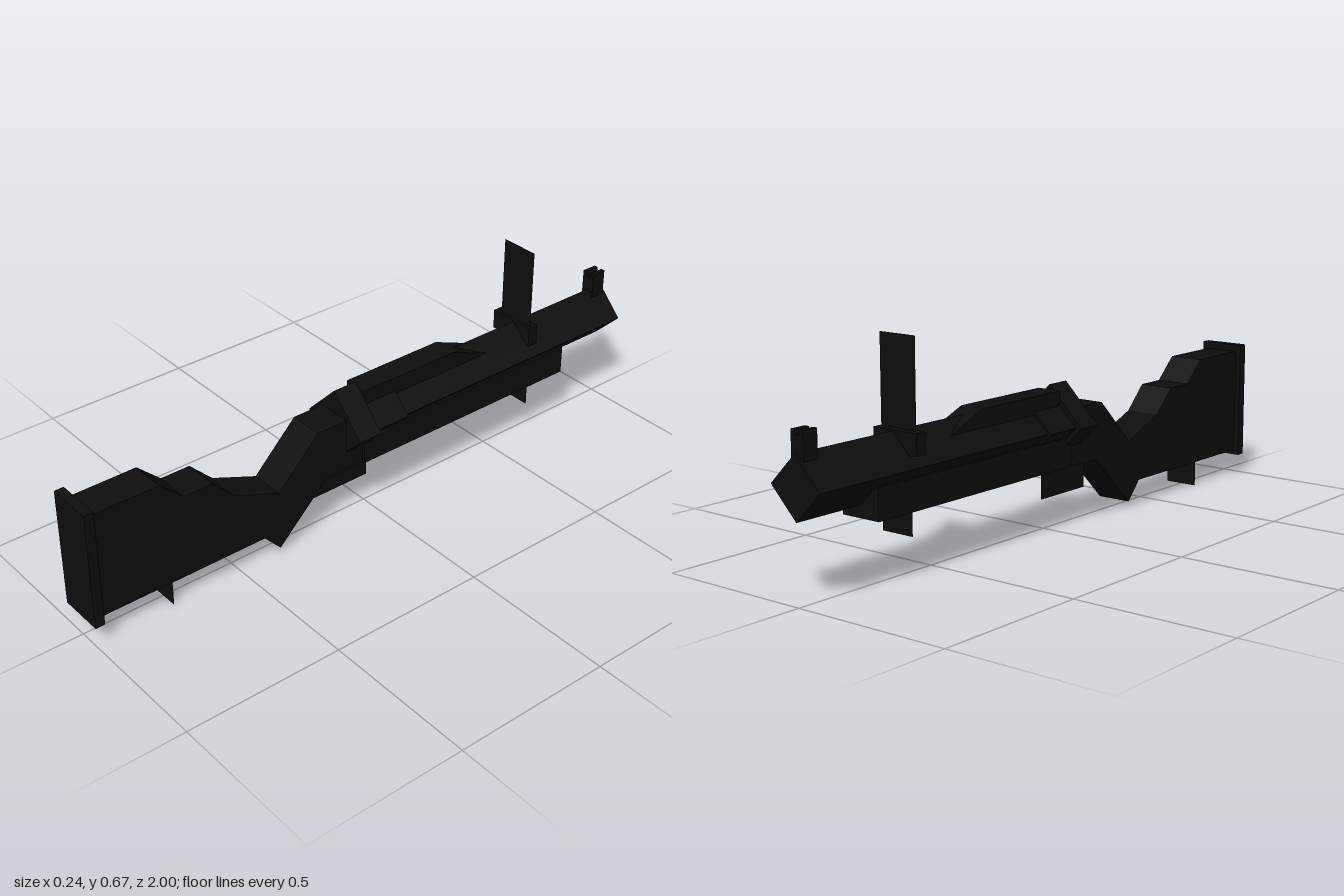
import * as THREE from 'three';

const black = new THREE.MeshStandardMaterial({ color: 0x0e0e0e, flatShading: true });
black.name = 'black';
const blackSheet = new THREE.MeshStandardMaterial({ color: 0x0e0e0e, side: THREE.DoubleSide });
blackSheet.name = 'blackSheet';

const AXIS_Y = 0.315; // height of the barrel axis

export function createModel() {
  const model = new THREE.Group();

  const add = (name, geometry, material = black) => {
    const mesh = new THREE.Mesh(geometry, material);
    mesh.name = name;
    model.add(mesh);
    return mesh;
  };

  // Box given by its limits on each axis
  const box = (name, x0, x1, y0, y1, z0, z1) =>
    add(name, new THREE.BoxGeometry(x1 - x0, y1 - y0, z1 - z0))
      .position.set((x0 + x1) / 2, (y0 + y1) / 2, (z0 + z1) / 2);

  // Side profile of [z, y] points, extruded across x
  const profile = (name, points, halfWidth) => {
    const shape = new THREE.Shape(points.map(([z, y]) => new THREE.Vector2(z, y)));
    const geometry = new THREE.ExtrudeGeometry(shape, { depth: halfWidth * 2, bevelEnabled: false });
    geometry.translate(0, 0, -halfWidth).rotateY(-Math.PI / 2);
    add(name, geometry);
  };

  // Four-sided tube lying along z, standing on its edge
  const diamond = (name, radius, z0, z1) =>
    add(name, new THREE.CylinderGeometry(radius, radius, z1 - z0, 4).rotateX(Math.PI / 2))
      .position.set(0, AXIS_Y, (z0 + z1) / 2);

  // Flat sheet facing front and back
  const sheet = (name, halfWidth, y0, y1, z) =>
    add(name, new THREE.PlaneGeometry(halfWidth * 2, y1 - y0), blackSheet)
      .position.set(0, (y0 + y1) / 2, z);

  // Stock with wrist and butt plate
  profile('stock', [
    [0.975, 0.08], [0.975, 0.42], [0.755, 0.42], [0.68, 0.35], [0.585, 0.35], [0.51, 0.275],
    [0.36, 0.215], [0.215, 0.36], [0.1, 0.36], [0.04, 0.32], [0.04, 0.19], [0.19, 0.185],
    [0.36, 0.02], [0.415, 0.08],
  ], 0.056);
  box('buttPlate', -0.074, 0.074, 0.065, 0.442, 0.97, 1);

  // Barrel and its rings
  diamond('barrel', 0.09, -1, 0.1);
  diamond('breechCollar', 0.1, -0.09, 0.03);
  diamond('breechRing', 0.12, 0.03, 0.11);

  // Wooden parts around the barrel
  box('handguard', -0.066, 0.066, 0.19, 0.282, -0.77, 0.05);
  profile('topCover', [
    [0.03, 0.32], [0.03, 0.42], [-0.32, 0.42], [-0.47, 0.36], [-0.47, 0.32],
  ], 0.04);

  // Folding leaf sight on its base
  box('sightBase', -0.088, 0.07, 0.345, 0.408, -0.645, -0.61);
  sheet('sightLeaf', 0.064, 0.4, 0.665, -0.62);

  // Notched front sight
  box('frontSightBase', -0.022, 0.022, 0.37, 0.45, -0.99, -0.94);
  for (const side of [-1, 1]) {
    const x = side * 0.015;
    box('frontSightEar', x - 0.007, x + 0.007, 0.45, 0.465, -0.99, -0.94);
  }

  // Trigger guard and sling loops as thin sheets
  add('triggerGuard', new THREE.PlaneGeometry(0.21, 0.11).rotateY(Math.PI / 2), blackSheet)
    .position.set(0, 0.145, 0.095);
  sheet('rearSlingLoop', 0.055, 0, 0.085, 0.736);
  sheet('frontSlingLoop', 0.055, 0.118, 0.195, -0.63);

  return model;
}
